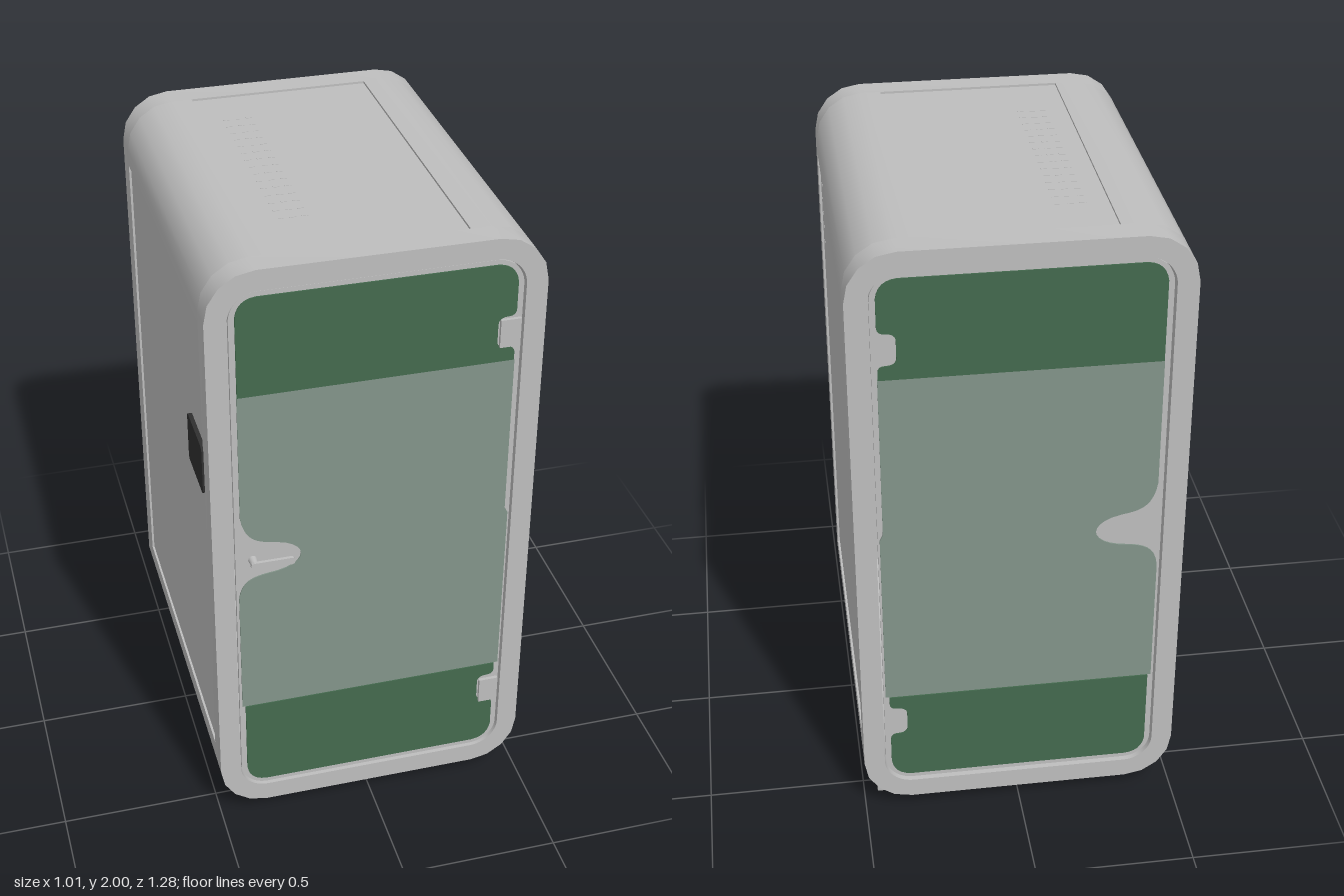
import * as THREE from 'three';
import { toCreasedNormals } from 'three/addons/utils/BufferGeometryUtils.js';

const mat = (name, color) => {
  const m = new THREE.MeshStandardMaterial({ color });
  m.name = name;
  return m;
};

// Rounded rectangle outline
function roundedRect(T, x0, y0, x1, y1, r) {
  const s = new T();
  s.moveTo(x0 + r, y0);
  s.lineTo(x1 - r, y0);
  s.absarc(x1 - r, y0 + r, r, -Math.PI / 2, 0, false);
  s.lineTo(x1, y1 - r);
  s.absarc(x1 - r, y1 - r, r, 0, Math.PI / 2, false);
  s.lineTo(x0 + r, y1);
  s.absarc(x0 + r, y1 - r, r, Math.PI / 2, Math.PI, false);
  s.lineTo(x0, y0 + r);
  s.absarc(x0 + r, y0 + r, r, Math.PI, Math.PI * 1.5, false);
  return s;
}

// Cabinet cross-section; d sinks the side and top panels below the shell
function shellShape(d) {
  const r = 0.15, n = 4, pts = [];
  const arc = (cx, cy, start) => {
    for (let i = 0; i <= n; i++) {
      const a = start + (i / n) * Math.PI / 2;
      pts.push(new THREE.Vector2(cx + r * Math.cos(a), cy + r * Math.sin(a)));
    }
  };
  const add = (...list) => list.forEach(([x, y]) => pts.push(new THREE.Vector2(x, y)));
  arc(0.35, 0.195, -Math.PI / 2);
  if (d) add([0.5, 0.255], [0.5 - d, 0.255], [0.5 - d, 1.795], [0.5, 1.795]);
  arc(0.35, 1.85, 0);
  if (d) add([0.288, 2], [0.288, 2 - d], [-0.285, 2 - d], [-0.285, 2]);
  arc(-0.35, 1.85, Math.PI / 2);
  if (d) add([-0.5, 1.795], [-0.5 + d, 1.795], [-0.5 + d, 0.255], [-0.5, 0.255]);
  arc(-0.35, 0.195, Math.PI);
  const s = new THREE.Shape(pts);
  s.holes.push(roundedRect(THREE.Path, -0.435, 0.11, 0.435, 1.935, 0.09));
  return s;
}

// Dark band at one end of the door, with a hinge cut-out; Y places or mirrors it
function bandShape(Y) {
  const s = new THREE.Shape();
  s.moveTo(-0.412, Y(1.597));
  s.lineTo(0.412, Y(1.597));
  s.lineTo(0.412, Y(1.625));
  s.quadraticCurveTo(0.41, Y(1.642), 0.39, Y(1.642));
  s.quadraticCurveTo(0.358, Y(1.642), 0.358, Y(1.665));
  s.lineTo(0.358, Y(1.72));
  s.quadraticCurveTo(0.358, Y(1.745), 0.39, Y(1.745));
  s.quadraticCurveTo(0.41, Y(1.745), 0.412, Y(1.765));
  s.lineTo(0.412, Y(1.855));
  s.quadraticCurveTo(0.405, Y(1.91), 0.35, Y(1.915));
  s.lineTo(-0.35, Y(1.915));
  s.quadraticCurveTo(-0.405, Y(1.91), -0.412, Y(1.855));
  return s;
}

// Frosted middle with a teardrop cut-out around the handle
function frostedShape() {
  const s = new THREE.Shape();
  s.moveTo(-0.422, 0.453);
  s.lineTo(0.424, 0.453);
  s.lineTo(0.424, 1.05);
  s.lineTo(0.414, 1.07);
  s.lineTo(0.414, 1.597);
  s.lineTo(-0.413, 1.597);
  s.lineTo(-0.413, 1.18);
  s.bezierCurveTo(-0.4, 1.08, -0.34, 1.085, -0.3, 1.075);
  s.bezierCurveTo(-0.205, 1.055, -0.205, 0.985, -0.3, 0.968);
  s.bezierCurveTo(-0.35, 0.96, -0.415, 0.965, -0.422, 0.88);
  return s;
}

export function createModel() {
  const model = new THREE.Group();
  const grey = mat('cabinet grey', 0xbebebe);
  const green = mat('dark green', 0x446a4e);
  const frost = mat('frosted green', 0x83958a);
  const black = mat('black', 0x303030);

  const put = (parent, name, geo, m, x = 0, y = 0, z = 0) => {
    const mesh = new THREE.Mesh(geo, m);
    mesh.name = name;
    mesh.position.set(x, y, z);
    parent.add(mesh);
    return mesh;
  };
  const slab = (shape, depth, curveSegments = 6) => toCreasedNormals(
    new THREE.ExtrudeGeometry(shape, { depth, bevelEnabled: false, curveSegments }), 0.7);
  const box = (w, h, d) => new THREE.BoxGeometry(w, h, d);

  // Shell: end bands at full size, middle with sunken panels
  const shell = new THREE.Group();
  shell.name = 'shell';
  model.add(shell);
  put(shell, 'frontBand', slab(shellShape(0), 0.08), grey, 0, 0, 0.53);
  put(shell, 'panelSection', slab(shellShape(0.007), 1.085), grey, 0, 0, -0.555);
  put(shell, 'backBand', slab(shellShape(0), 0.085), grey, 0, 0, -0.64);

  // Front door and matching back wall
  const leaf = slab(roundedRect(THREE.Shape, -0.43, 0.115, 0.43, 1.93, 0.085), 0.012);
  const top = slab(bandShape(y => y), 0.006);
  const bottom = slab(bandShape(y => 2.047 - y), 0.006);
  const middle = slab(frostedShape(), 0.006, 10);
  for (const [name, z, out] of [['frontDoor', 0.59, 1], ['backWall', -0.628, -1]]) {
    const g = new THREE.Group();
    g.name = name;
    g.position.z = z;
    model.add(g);
    const face = out > 0 ? 0.01 : -0.004;
    put(g, 'leaf', leaf, grey);
    put(g, 'topBand', top, green, 0, 0, face);
    put(g, 'bottomBand', bottom, green, 0, 0, face);
    put(g, 'frostedPane', middle, frost, 0, 0, face);
  }

  // Hinges
  for (const y of [1.692, 0.345])
    put(model, 'hinge', box(0.062, 0.09, 0.02), grey, 0.395, y, 0.603);

  // Handle: post and lever
  const handle = new THREE.Group();
  handle.name = 'handle';
  model.add(handle);
  const post = put(handle, 'post', new THREE.CylinderGeometry(0.011, 0.014, 0.034, 16), grey, -0.377, 1.022, 0.615);
  post.rotation.x = Math.PI / 2;
  put(handle, 'lever', slab(roundedRect(THREE.Shape, -0.39, 1.01, -0.255, 1.034, 0.011), 0.01), grey, 0, 0, 0.63);

  // Hollow square feet
  const footShape = roundedRect(THREE.Shape, -0.0625, -0.0625, 0.0625, 0.0625, 0.001);
  footShape.holes.push(roundedRect(THREE.Path, -0.036, -0.036, 0.036, 0.036, 0.001));
  const footGeo = slab(footShape, 0.1, 1).rotateX(-Math.PI / 2);
  for (const x of [-0.352, 0.394])
    for (const z of [0.467, -0.493]) put(model, 'foot', footGeo, grey, x, 0, z);

  // Control plate on the right side
  const plate = slab(roundedRect(THREE.Shape, -0.102, -0.082, 0.102, 0.082, 0.015), 0.016).rotateY(-Math.PI / 2);
  put(model, 'controlPlate', plate, black, -0.49, 1.318, 0.433);

  // Small vent slots on the roof and left side
  const roofSlot = box(0.02, 0.002, 0.006);
  for (let i = 0; i < 15; i++)
    for (const x of [-0.21, -0.173, -0.137])
      put(model, 'roofVent', roofSlot, grey, x, 1.9932, -0.383 + i * 0.05);
  const sideSlot = box(0.002, 0.006, 0.018);
  for (let i = 0; i < 5; i++)
    put(model, 'sideVent', sideSlot, grey, 0.4932, 1.515 + i * 0.051, 0.46);

  return model;
}
